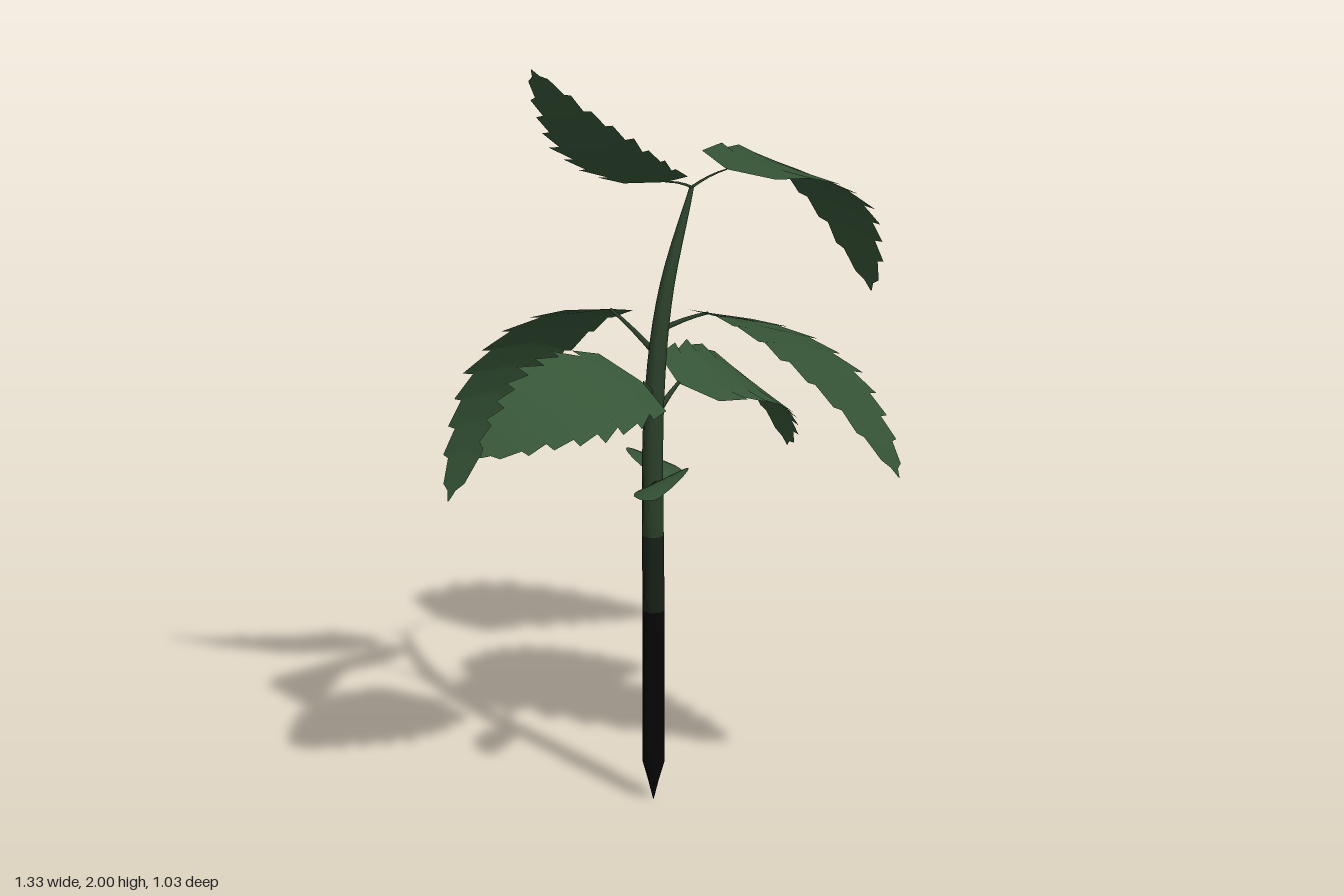
import * as THREE from 'three';

const V = (x, y, z) => new THREE.Vector3(x, y, z);
const leafMat = new THREE.MeshStandardMaterial({ color: 0x365537, side: THREE.DoubleSide });
const stemMat = new THREE.MeshStandardMaterial({ color: 0x2a3f29 });
const lowStemMat = new THREE.MeshStandardMaterial({ color: 0x162017 });
const barkMat = new THREE.MeshStandardMaterial({ color: 0x050605 });

// Centre line of the stem: straight, then leaning at the top
const stemCurve = new THREE.CatmullRomCurve3([
  V(-0.12, 0, -0.03), V(-0.12, 0.5, -0.03), V(-0.114, 1.05, -0.035), V(-0.065, 1.32, -0.055), V(0.04, 1.57, -0.09),
]);

// Pointed at the foot, thinning towards the top
const stemRadius = (u) => (u < 0.06 ? 0.001 + 0.4 * u : 0.028 * (1 - 0.8 * u ** 5));

// Half width of a blade along its length, from 0 to 1
const serratedWidth = (t) => (t < 0.35 ? 1 - 0.22 * ((0.35 - t) / 0.35) ** 2 : 1 - 0.93 * ((t - 0.35) / 0.65) ** 1.4);
const roundedWidth = (t) => 0.1 + 0.9 * Math.max(0, Math.sin(Math.PI * t ** 0.9)) ** 0.7;

// Grid of rows turned into a smooth surface
function gridMesh(name, rows, material) {
  const n = rows[0].length, index = [];
  for (let i = 0; i < rows.length - 1; i++)
    for (let j = 0; j < n - 1; j++) {
      const a = i * n + j, b = a + n;
      index.push(a, a + 1, b, a + 1, b + 1, b);
    }
  const geometry = new THREE.BufferGeometry().setFromPoints(rows.flat());
  geometry.setIndex(index);
  geometry.computeVertexNormals();
  const mesh = new THREE.Mesh(geometry, material);
  mesh.name = name;
  return mesh;
}

// Round tapered stalk along steps from..to of a curve cut into count steps
function stalk(name, curve, radius, from, to, count, sides, material) {
  const rows = [];
  for (let i = from; i <= to; i++) {
    const u = i / count, centre = curve.getPointAt(u);
    const turn = new THREE.Quaternion().setFromUnitVectors(V(0, 1, 0), curve.getTangentAt(u));
    rows.push(Array.from({ length: sides + 1 }, (_, k) => {
      const a = -k / sides * Math.PI * 2;
      return V(Math.cos(a), 0, Math.sin(a)).multiplyScalar(radius(u)).applyQuaternion(turn).add(centre);
    }));
  }
  return gridMesh(name, rows, material);
}

// Blade swept along its midrib; side is the half width vector
function blade(curve, side, teeth) {
  const rows = [];
  const addRow = (t, width, forward = 0) => {
    const centre = curve.getPointAt(t), along = curve.getTangentAt(t);
    rows.push([-1, -0.5, 0, 0.5, 1].map((k) =>
      centre.clone().addScaledVector(side, k * width).addScaledVector(along, forward * Math.abs(k))));
  };
  if (teeth) {
    // Each tooth is a notch followed by a point aimed at the leaf tip
    addRow(0, 0.04);
    for (let k = 0; k < teeth; k++) {
      const notch = 0.01 + 0.94 * k / teeth, point = 0.01 + 0.94 * (k + 0.72) / teeth;
      const wobble = 0.04 * Math.sin(k * 2.4);
      addRow(notch, serratedWidth(notch) * (k ? 0.87 - wobble : 0.97), 0.03 * (1 - notch));
      addRow(point, serratedWidth(point) * (1.06 + wobble), 0.055 * (1 - point) + 0.008);
    }
    addRow(0.96, 0.09);
    addRow(1, 0.01);
  } else {
    for (let k = 0; k <= 9; k++) addRow(k / 9, roundedWidth(k / 9));
  }
  return gridMesh('blade', rows, leafMat);
}

// Leaf from stem fraction u: midrib base, bend and tip, half width and sideways lift
function leaf(name, u, base, bend, tip, width, lift, teeth = 8) {
  const group = new THREE.Group();
  group.name = name;
  const side = V(base.z - bend.z, 0, bend.x - base.x).setLength(width);
  side.y = lift;
  const root = stemCurve.getPointAt(u);
  const middle = root.clone().lerp(base, 0.5).add(V(0, 0.01, 0));
  const thickness = 0.02 - 0.0165 * u;
  group.add(
    blade(new THREE.QuadraticBezierCurve3(base, bend, tip), side, teeth),
    stalk('leafStalk', new THREE.QuadraticBezierCurve3(root, middle, base),
      (t) => thickness * (1.1 - 0.6 * t), 0, 4, 4, 5, stemMat),
  );
  return group;
}

export function createModel() {
  const plant = new THREE.Group();
  plant.name = 'leafyPlant';
  plant.add(
    // Dark foot shading into the green upper stem
    stalk('stemFoot', stemCurve, stemRadius, 0, 10, 32, 8, barkMat),
    stalk('lowerStem', stemCurve, stemRadius, 10, 14, 32, 8, lowStemMat),
    stalk('upperStem', stemCurve, stemRadius, 14, 32, 32, 8, stemMat),
    // Top pair
    leaf('topArchingLeaf', 1, V(0.17, 1.583, -0.12), V(0.5, 1.61, -0.13), V(0.66, 1.14, -0.19), 0.2, 0.006),
    leaf('topRaisedLeaf', 1, V(-0.05, 1.605, -0.08), V(-0.315, 1.72, -0.02), V(-0.48, 2, -0.05), 0.14, -0.045),
    // Middle whorl
    leaf('frontLeaf', 0.77, V(0.02, 1.27, 0.01), V(0.155, 1.3, 0.32), V(0.25, 0.93, 0.51), 0.195, 0.075),
    leaf('backLeaf', 0.73, V(-0.13, 1.25, -0.2), V(-0.235, 1.165, -0.5), V(-0.43, 0.72, -0.48), 0.19, -0.055),
    leaf('leftSideLeaf', 0.625, V(0, 1.06, -0.09), V(0.275, 1.1, -0.115), V(0.41, 0.78, -0.2), 0.15, -0.04),
    leaf('rightSideLeaf', 0.66, V(-0.17, 1.12, -0.01), V(-0.42, 1.18, 0.05), V(-0.665, 1.02, -0.01), 0.145, 0.065),
    // Small rounded leaves low on the stem
    leaf('lowerFrontLeaf', 0.51, V(-0.15, 0.86, 0.03), V(-0.19, 0.92, 0.12), V(-0.28, 0.895, 0.21), 0.07, -0.03, 0),
    leaf('lowerBackLeaf', 0.487, V(-0.06, 0.82, -0.09), V(-0.02, 0.85, -0.18), V(0.07, 0.79, -0.29), 0.072, -0.035, 0),
  );
  return plant;
}
